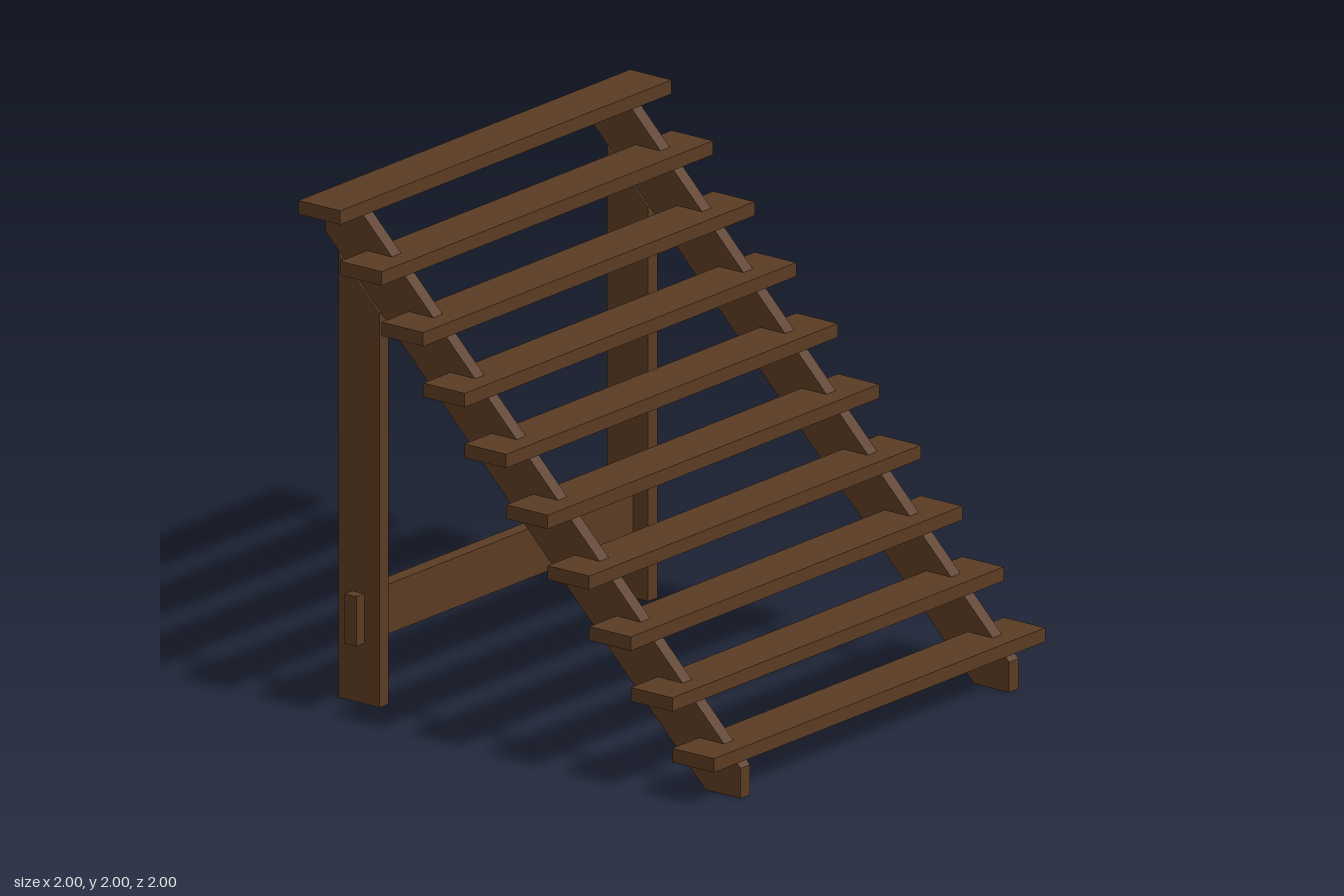
import * as THREE from 'three';

const wood = new THREE.MeshStandardMaterial({ color: 0x5a3b23, side: THREE.DoubleSide });
wood.name = 'dark brown wood';

// Removes the flat underside, leaving the part open below
function openBottom(source) {
  const geometry = source.index ? source.toNonIndexed() : source;
  geometry.computeBoundingBox();
  const floor = geometry.boundingBox.min.y + 1e-4;
  const p = geometry.attributes.position;
  const kept = [];
  for (let i = 0; i < p.count; i += 3) {
    if (Math.max(p.getY(i), p.getY(i + 1), p.getY(i + 2)) > floor) kept.push(i, i + 1, i + 2);
  }
  geometry.clearGroups();
  geometry.setIndex(kept);
  return geometry;
}

// Board cut from a side outline of [z, y] points, centred on x = 0
function board(outline, thickness) {
  const shape = new THREE.Shape(outline.map(([z, y]) => new THREE.Vector2(z, y)));
  const geometry = new THREE.ExtrudeGeometry(shape, { depth: thickness, bevelEnabled: false });
  geometry.translate(0, 0, -thickness / 2);
  geometry.rotateY(-Math.PI / 2);
  return openBottom(geometry);
}

export function createModel() {
  const model = new THREE.Group();
  model.name = 'openStaircase';

  function add(name, geometry, x = 0, y = 0, z = 0) {
    const mesh = new THREE.Mesh(geometry, wood);
    mesh.name = name;
    mesh.position.set(x, y, z);
    model.add(mesh);
  }

  // Ten equal treads, hollow underneath
  const count = 10, step = 0.2, thick = 0.055;
  const treadGeometry = openBottom(new THREE.BoxGeometry(2, thick, step));
  for (let i = 0; i < count; i++) {
    add(`tread${i + 1}`, treadGeometry, 0, step * (i + 1) - thick / 2, 1 - step * (i + 0.5));
  }

  // Sloping stringers and upright rear legs on both sides
  const stringer = board([[0.83, 0], [1, 0], [1, 0.12], [-0.825, 1.945], [-1, 1.945], [-1, 1.835]], 0.056);
  const leg = board([[-0.74, 0], [-0.74, 1.565], [-0.937, 1.762], [-0.937, 0]], 0.056);
  for (const [side, x] of [['left', 0.81], ['right', -0.81]]) {
    add(`${side}Stringer`, stringer, x);
    add(`${side}RearLeg`, leg, x);
  }

  // Cross brace passing through the rear legs
  add('rearBrace', new THREE.BoxGeometry(1.77, 0.197, 0.058), 0, 0.338, -0.842);

  return model;
}
